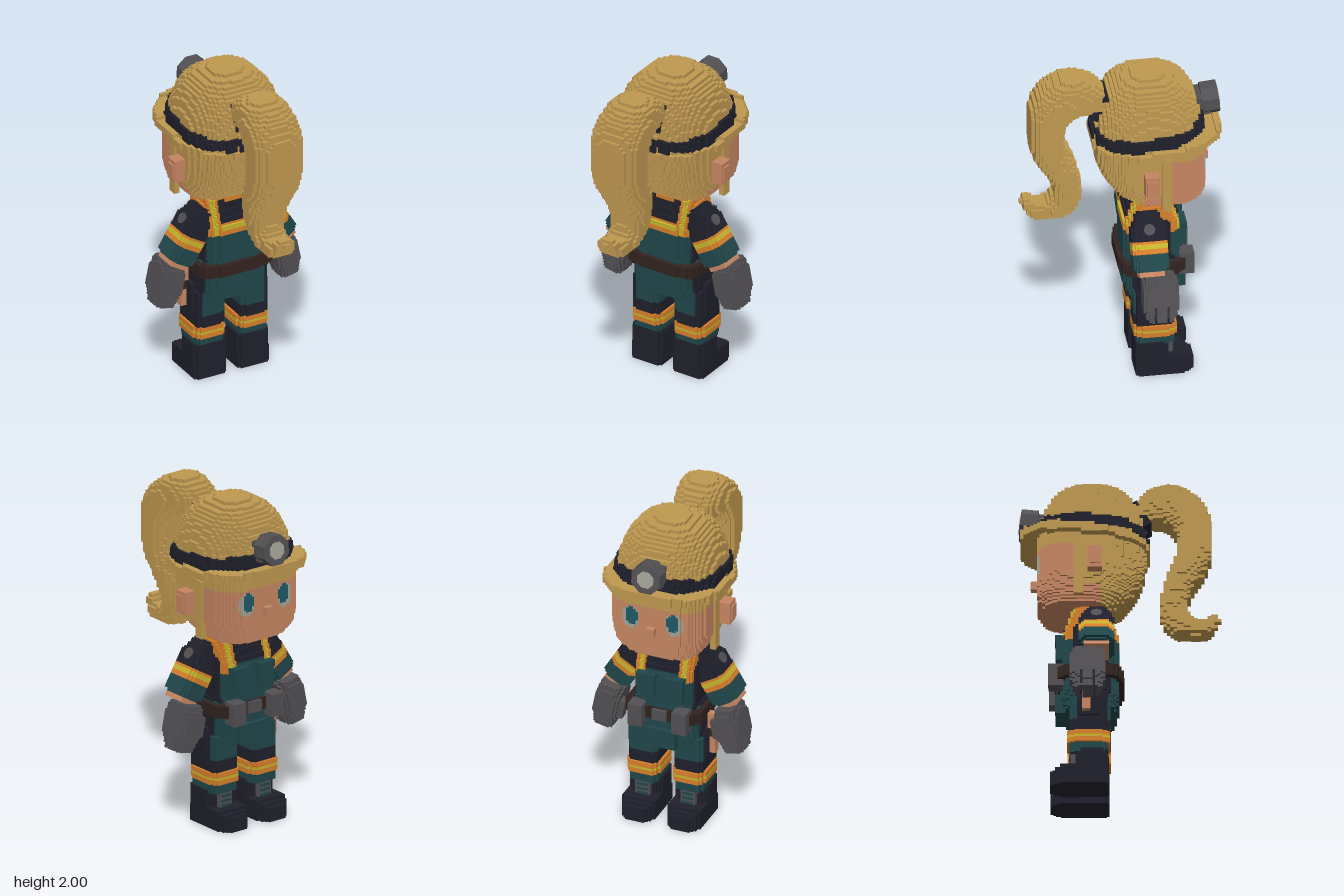
import * as THREE from 'three';

const mat = (name, color) => Object.assign(new THREE.MeshStandardMaterial({ color }), { name });
const M = {
  blonde: mat('blonde', 0xbf9850), navy: mat('navy', 0x20202c), teal: mat('teal', 0x20464a),
  orange: mat('orange', 0xd87f2a), yellow: mat('yellow', 0xc6b42e), skin: mat('skin', 0xc68562),
  grey: mat('grey', 0x525053), brown: mat('brown', 0x32231f), pale: mat('pale', 0xa3a398), iris: mat('iris', 0x1d5a66),
};

const round = (a, b, n) => Math.abs(a) ** n + Math.abs(b) ** n < 1;
const between = (v, a, b) => v >= a && v <= b;

// Linear lookup in a list of [key, value] pairs with rising keys
function at(k, list) {
  if (k <= list[0][0]) return list[0][1];
  for (let i = 1; i < list.length; i++) {
    const [a, u] = list[i - 1], [b, v] = list[i];
    if (k <= b) return u + (v - u) * (k - a) / (b - a);
  }
  return list[list.length - 1][1];
}

// Fills a grid with small cubes; pick(x, y, z) gives a colour name or nothing. Only outer faces are kept.
function voxels(name, s, lo, hi, pick) {
  const n = lo.map((v, i) => Math.round((hi[i] - v) / s));
  const cells = [];
  for (let i = 0; i < n[0]; i++) for (let j = 0; j < n[1]; j++) for (let k = 0; k < n[2]; k++)
    cells.push(pick(lo[0] + (i + 0.5) * s, lo[1] + (j + 0.5) * s, lo[2] + (k + 0.5) * s) || null);
  const get = (c) => c.every((v, i) => v >= 0 && v < n[i]) ? cells[(c[0] * n[1] + c[1]) * n[2] + c[2]] : null;
  const pos = [], nor = [], faces = {};
  for (let i = 0; i < n[0]; i++) for (let j = 0; j < n[1]; j++) for (let k = 0; k < n[2]; k++) {
    const c = [i, j, k], colour = get(c);
    if (!colour) continue;
    for (let axis = 0; axis < 3; axis++) for (const d of [-1, 1]) {
      const next = [...c];
      next[axis] += d;
      if (get(next)) continue;
      const u = (axis + 1) % 3, v = (axis + 2) % 3, base = pos.length / 3;
      for (const [p, q] of [[0, 0], [1, 0], [1, 1], [0, 1]]) {
        const corner = [...c], normal = [0, 0, 0];
        corner[axis] += d > 0 ? 1 : 0; corner[u] += p; corner[v] += q;
        normal[axis] = d;
        pos.push(...corner.map((e, a) => lo[a] + e * s));
        nor.push(...normal);
      }
      const order = d > 0 ? [0, 1, 2, 0, 2, 3] : [0, 2, 1, 0, 3, 2];
      (faces[colour] ??= []).push(...order.map((o) => base + o));
    }
  }
  const geo = new THREE.BufferGeometry(), index = [], mats = [];
  geo.setAttribute('position', new THREE.Float32BufferAttribute(pos, 3));
  geo.setAttribute('normal', new THREE.Float32BufferAttribute(nor, 3));
  for (const [colour, list] of Object.entries(faces)) {
    geo.addGroup(index.length, list.length, mats.length);
    mats.push(M[colour]);
    for (const f of list) index.push(f);
  }
  geo.setIndex(index);
  return Object.assign(new THREE.Mesh(geo, mats), { name });
}

function box(name, colour, w, h, d, x, y, z) {
  const m = new THREE.Mesh(new THREE.BoxGeometry(w, h, d), M[colour]);
  m.position.set(x, y, z);
  m.name = name;
  return m;
}

// Reflective band: yellow core between orange edges
const stripe = (t, a, b) => between(t, a, b) && (Math.abs(t - (a + b) / 2) < (b - a) * 0.2 ? 'yellow' : 'orange');

function head() {
  const g = new THREE.Group();
  g.name = 'head';
  g.add(voxels('faceAndHair', 0.015, [-0.33, 1.185, -0.495], [0.33, 1.635, 0.195], (x, y, z) => {
    const back = at(y, [[1.19, -0.05], [1.25, 0.05], [1.35, 0.12], [1.45, 0.155], [1.6, 0.165]]);
    const front = at(y, [[1.18, -0.44], [1.25, -0.483]]);
    const w = at(y, [[1.18, 0.22], [1.25, 0.275], [1.35, 0.305]]);
    const mid = -0.2, depth = z > mid ? back - mid : mid - front;
    if (!round(x / w, (z - mid) / depth, z > mid ? 2.5 : 3.8)) return null;
    const ax = Math.abs(x);
    if (z < -0.42 && round((ax - 0.13) / 0.035, (y - 1.45) / 0.06, 2.4)) return 'iris';
    if (z < -0.42 && round((ax - 0.137) / 0.053, (y - 1.442) / 0.07, 2.4)) return 'pale';
    if (y < 1.535 && z < -0.25) return 'skin';
    return y < 1.27 && z < -0.1 ? 'skin' : 'blonde';
  }));
  g.add(box('nose', 'skin', 0.05, 0.05, 0.045, 0, 1.38, -0.497));
  g.add(box('neck', 'skin', 0.2, 0.1, 0.16, 0, 1.17, -0.17));
  for (const s of [-1, 1]) {
    g.add(box('ear', 'skin', 0.09, 0.14, 0.085, s * 0.325, 1.41, -0.14));
    g.add(box('earRim', 'skin', 0.03, 0.09, 0.06, s * 0.365, 1.41, -0.135));
    g.add(box('sideLock', 'blonde', 0.035, 0.36, 0.06, s * 0.295, 1.38, -0.235));
  }
  return g;
}

function helmet() {
  const g = new THREE.Group();
  g.name = 'helmet';
  g.add(voxels('domeAndBand', 0.02, [-0.34, 1.58, -0.52], [0.34, 2, 0.2], (x, y, z) => {
    const band = Math.abs(y - 1.659 + 0.087 * z) < 0.037, k = band ? 1.045 : 1;
    if (y < 1.593 - 0.099 * z) return null;
    const r = 1 - ((y - 1.55) / 0.45) ** 2.5;
    return r > 0 && round(x / (0.313 * k * r ** 0.4), (z + 0.16) / (0.32 * k * r ** 0.4), 2.6) && (band ? 'navy' : 'blonde');
  }));
  g.add(voxels('brim', 0.02, [-0.36, 1.54, -0.6], [0.36, 1.7, 0.2], (x, y, z) =>
    Math.abs(y - 1.593 + 0.099 * z) < 0.024 && round(x / 0.362, (z + 0.205) / 0.385, 2.6) && 'blonde'));
  // Headlamp with an eight-sided housing
  const lamp = new THREE.Group();
  lamp.name = 'headlamp';
  const disc = (name, colour, r, d, z) => {
    const m = new THREE.Mesh(new THREE.CylinderGeometry(r, r, d, 8).rotateY(Math.PI / 8).rotateX(Math.PI / 2).toNonIndexed(), M[colour]);
    m.geometry.computeVertexNormals();
    m.position.z = z;
    m.name = name;
    return m;
  };
  lamp.add(disc('housing', 'grey', 0.097, 0.1, 0), disc('lens', 'pale', 0.055, 0.008, -0.052));
  lamp.add(box('mount', 'grey', 0.15, 0.12, 0.08, 0, -0.01, 0.05));
  lamp.position.set(0, 1.775, -0.53);
  lamp.rotation.x = 0.1;
  g.add(lamp);
  return g;
}

function ponytail() {
  const g = new THREE.Group();
  g.name = 'ponytail';
  // z, y, thickness and width along the curl
  const path = [[0.14, 1.83, 0.07, 0.09], [0.21, 1.875, 0.1, 0.13], [0.31, 1.88, 0.12, 0.15], [0.41, 1.8, 0.12, 0.165],
    [0.442, 1.66, 0.098, 0.165], [0.43, 1.53, 0.1, 0.16], [0.365, 1.4, 0.088, 0.15], [0.325, 1.27, 0.082, 0.12],
    [0.34, 1.15, 0.083, 0.095], [0.42, 1.1, 0.05, 0.09], [0.51, 1.1, 0.042, 0.08], [0.56, 1.15, 0.032, 0.05]];
  const mid = new THREE.CatmullRomCurve3(path.map(([z, y]) => new THREE.Vector3(0, y, z)));
  const size = new THREE.CatmullRomCurve3(path.map(([, , r, w]) => new THREE.Vector3(r, w, 0)));
  const steps = Array.from({ length: 67 }, (_, i) => [mid.getPoint(i / 66), size.getPoint(i / 66)]);
  g.add(voxels('curl', 0.02, [-0.18, 1.04, 0.06], [0.18, 2, 0.6], (x, y, z) =>
    steps.some(([p, r]) => round(x / r.y, Math.hypot(y - p.y, z - p.z) / r.x, 2.8)) && 'blonde'));
  const tie = box('hairTie', 'navy', 0.19, 0.17, 0.05, 0, 1.81, 0.125);
  tie.rotation.x = -0.55;
  g.add(tie);
  return g;
}

function torso() {
  const g = new THREE.Group();
  g.name = 'torso';
  g.add(voxels('overalls', 0.015, [-0.24, 0.525, -0.36], [0.24, 1.17, 0.03], (x, y, z) => {
    const w = at(y, [[0.53, 0.2], [0.62, 0.222], [0.72, 0.222], [0.82, 0.195], [1.02, 0.195], [1.16, 0.17]]);
    const d = at(y, [[0.53, 0.15], [0.6, 0.17], [1, 0.17], [1.16, 0.115]]);
    if (!round(x / w, (z + 0.17) / d, 4)) return null;
    const ax = Math.abs(x);
    if (y > 0.96 && between(ax, 0.1, 0.175)) return ax < 0.15 && ax > 0.12 ? 'yellow' : 'orange';
    if (z > -0.17 && ax < 0.175 && between(y, 0.96, 1.04)) return stripe(y, 0.96, 1.04);
    if (y > 1.02 || (y > 0.78 && ax > 0.175)) return 'navy';
    return y < 0.7 && ax > 0.2 && z > -0.25 ? 'navy' : 'teal';
  }));
  g.add(voxels('collar', 0.015, [-0.165, 1.14, -0.3], [0.165, 1.185, -0.03], (x, y, z) =>
    round(x / 0.15, (z + 0.165) / 0.115, 3) && 'orange'));
  g.add(voxels('belt', 0.015, [-0.24, 0.7, -0.375], [0.24, 0.775, 0.03], (x, y, z) =>
    round(x / 0.245, (z + 0.17) / 0.195, 5) && 'brown'));
  g.add(box('buckle', 'grey', 0.09, 0.07, 0.02, 0, 0.74, -0.372));
  g.add(box('frontPocket', 'teal', 0.2, 0.12, 0.06, 0, 0.58, -0.345));
  for (const s of [-1, 1]) {
    g.add(box('chestPocket', 'teal', 0.11, 0.15, 0.06, s * 0.09, 0.92, -0.34));
    g.add(box('pocketFlap', 'teal', 0.12, 0.04, 0.07, s * 0.09, 0.98, -0.34));
    g.add(box('beltPouch', 'grey', 0.09, 0.14, 0.09, s * 0.14, 0.73, -0.37));
    g.add(box('hipPocket', 'navy', 0.03, 0.18, 0.12, s * 0.24, 0.53, -0.17));
  }
  // Tool hanging from the belt
  g.add(box('toolHandle', 'skin', 0.05, 0.26, 0.05, -0.265, 0.59, -0.19));
  g.add(box('toolStrap', 'brown', 0.07, 0.05, 0.07, -0.265, 0.6, -0.19));
  return g;
}

function arm(s) {
  const g = new THREE.Group();
  g.name = 'arm';
  const sleeve = voxels('sleeve', 0.015, [-0.105, -0.33, -0.12], [0.105, 0.06, 0.12], (x, y, z) => {
    const l = -y, k = at(l, [[-0.06, 0.6], [0.04, 0.95], [0.12, 1], [0.28, 1], [0.3, 0.75]]);
    const band = stripe(l, 0.12, 0.195);
    if (!round(x / (0.087 * k), z / (0.105 * k), 4)) return null;
    return band || (l < 0.12 ? 'navy' : l < 0.297 ? 'teal' : 'skin');
  });
  sleeve.position.set(s * 0.2, 1.07, -0.13);
  sleeve.rotation.z = s * 0.54;
  const glove = voxels('glove', 0.015, [-0.09, -0.27, -0.12], [0.09, 0.015, 0.12], (x, y, z) => {
    const l = -y, k = at(l, [[0, 0.85], [0.05, 1], [0.17, 1], [0.27, 0.72]]);
    if (l > 0.17 && Math.abs(Math.abs(z) - 0.038) < 0.008) return null;
    return round(x / (0.078 * k), z / (0.11 * k), 3.5) && 'grey';
  });
  const thumb = box('thumb', 'grey', 0.05, 0.12, 0.06, -s * 0.085, -0.12, -0.04);
  const hand = new THREE.Group();
  hand.name = 'hand';
  hand.add(glove, thumb);
  hand.position.set(s * 0.365, 0.775, -0.18);
  hand.rotation.z = s * 0.2;
  const badge = new THREE.Mesh(new THREE.CylinderGeometry(0.035, 0.035, 0.009, 8).rotateZ(Math.PI / 2), M.grey);
  badge.name = 'shoulderBadge';
  badge.position.set(s * 0.09, -0.05, 0);
  sleeve.add(badge);
  g.add(sleeve, hand);
  return g;
}

function leg(s) {
  const g = new THREE.Group();
  g.name = 'leg';
  g.add(voxels('trouserLeg', 0.015, [-0.12, 0.21, -0.32], [0.12, 0.57, -0.02], (x, y, z) => {
    const band = stripe(y, 0.27, 0.345), k = band ? 1.06 : y < 0.27 ? 0.94 : 1;
    if (!round(x / (0.094 * k), (z + 0.175) / (0.122 * k), 5)) return null;
    if (band) return band;
    return between(y, 0.345, 0.42) || (y > 0.4 && s * x > 0.06 && z > -0.25) ? 'navy' : 'teal';
  }));
  g.add(voxels('boot', 0.015, [-0.12, 0, -0.405], [0.12, 0.225, -0.06], (x, y, z) => {
    const shaft = round(x / (y < 0.1 ? 0.112 : 0.1), (z + 0.155) / 0.095, 6);
    const toe = y < 0.12 - Math.max(0, -0.34 - z) * 0.6 && z < -0.1 && round(x / 0.112, (z + 0.19) / 0.212, 3.5);
    return (shaft || toe) && 'navy';
  }));
  g.add(box('laces', 'grey', 0.09, 0.11, 0.04, 0, 0.16, -0.265));
  for (let i = 0; i < 3; i++) g.add(box('lace', 'teal', 0.07, 0.015, 0.009, 0, 0.13 + i * 0.03, -0.287));
  g.position.x = s * 0.145;
  return g;
}

export function createModel() {
  const model = new THREE.Group();
  model.name = 'rescueWorker';
  model.add(head(), helmet(), ponytail(), torso());
  for (const s of [-1, 1]) model.add(arm(s), leg(s));
  return model;
}
